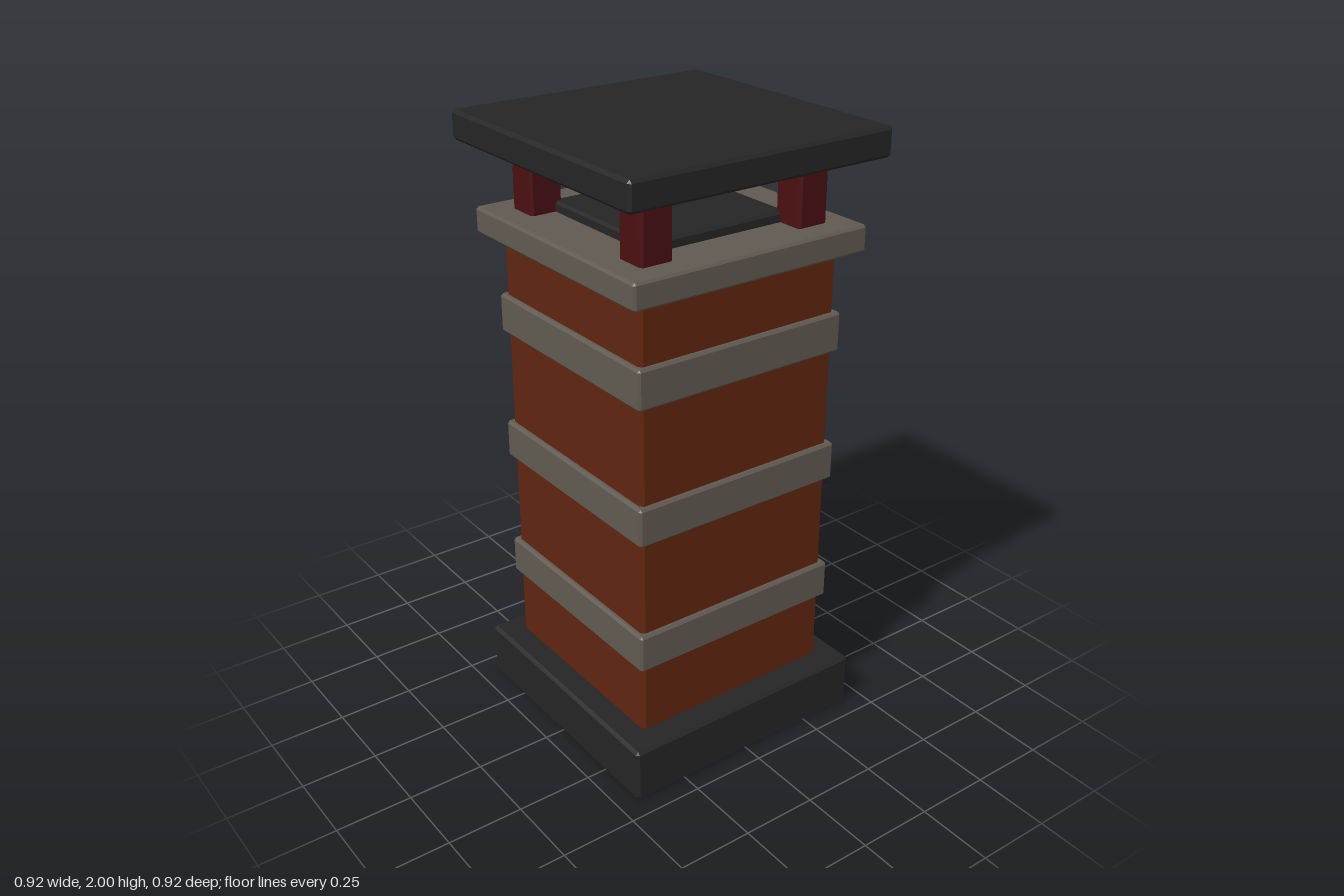
import * as THREE from 'three';
import { ConvexGeometry } from 'three/addons/geometries/ConvexGeometry.js';

const material = (name, color) => {
  const m = new THREE.MeshStandardMaterial({ color });
  m.name = name;
  return m;
};

// Box with flat chamfered edges, spanning y0 to y1
function chamferBox(half, y0, y1, bevel) {
  const h = (y1 - y0) / 2, cy = (y0 + y1) / 2, pts = [];
  for (const sx of [-1, 1]) for (const sy of [-1, 1]) for (const sz of [-1, 1]) {
    for (let axis = 0; axis < 3; axis++) {
      const inset = [bevel, bevel, bevel];
      inset[axis] = 0;
      pts.push(new THREE.Vector3(
        sx * (half - inset[0]), cy + sy * (h - inset[1]), sz * (half - inset[2])));
    }
  }
  return new ConvexGeometry(pts);
}

export function createModel() {
  const group = new THREE.Group();
  group.name = 'chimney';
  const brick = material('brick red', 0x60250f);
  const stone = material('warm grey stone', 0x605950);
  const slate = material('dark slate', 0x252525);
  const clay = material('dark red clay', 0x4a0f11);

  const add = (name, mat, half, y0, y1, bevel = 0.01, x = 0, z = 0) => {
    const mesh = new THREE.Mesh(chamferBox(half, y0, y1, bevel), mat);
    mesh.name = name;
    mesh.position.set(x, 0, z);
    group.add(mesh);
  };

  // Footing and shaft
  add('base', slate, 0.437, 0, 0.183, 0.01);
  add('brickShaft', brick, 0.358, 0.18, 1.65, 0.011);

  // Stone bands around the shaft
  [0.485, 0.925, 1.365].forEach((y, i) =>
    add('stoneBand' + (i + 1), stone, 0.374, y - 0.064, y + 0.064, 0.008));

  // Crown and flue
  add('stoneCrown', stone, 0.418, 1.622, 1.706, 0.008);
  add('flue', slate, 0.25, 1.66, 1.738, 0.008);

  // Corner posts carrying the roof slab
  for (const sx of [-1, 1]) for (const sz of [-1, 1])
    add('cornerPost', clay, 0.054, 1.69, 1.93, 0.008, sx * 0.28, sz * 0.28);
  add('roofSlab', slate, 0.459, 1.908, 2, 0.01);

  return group;
}
